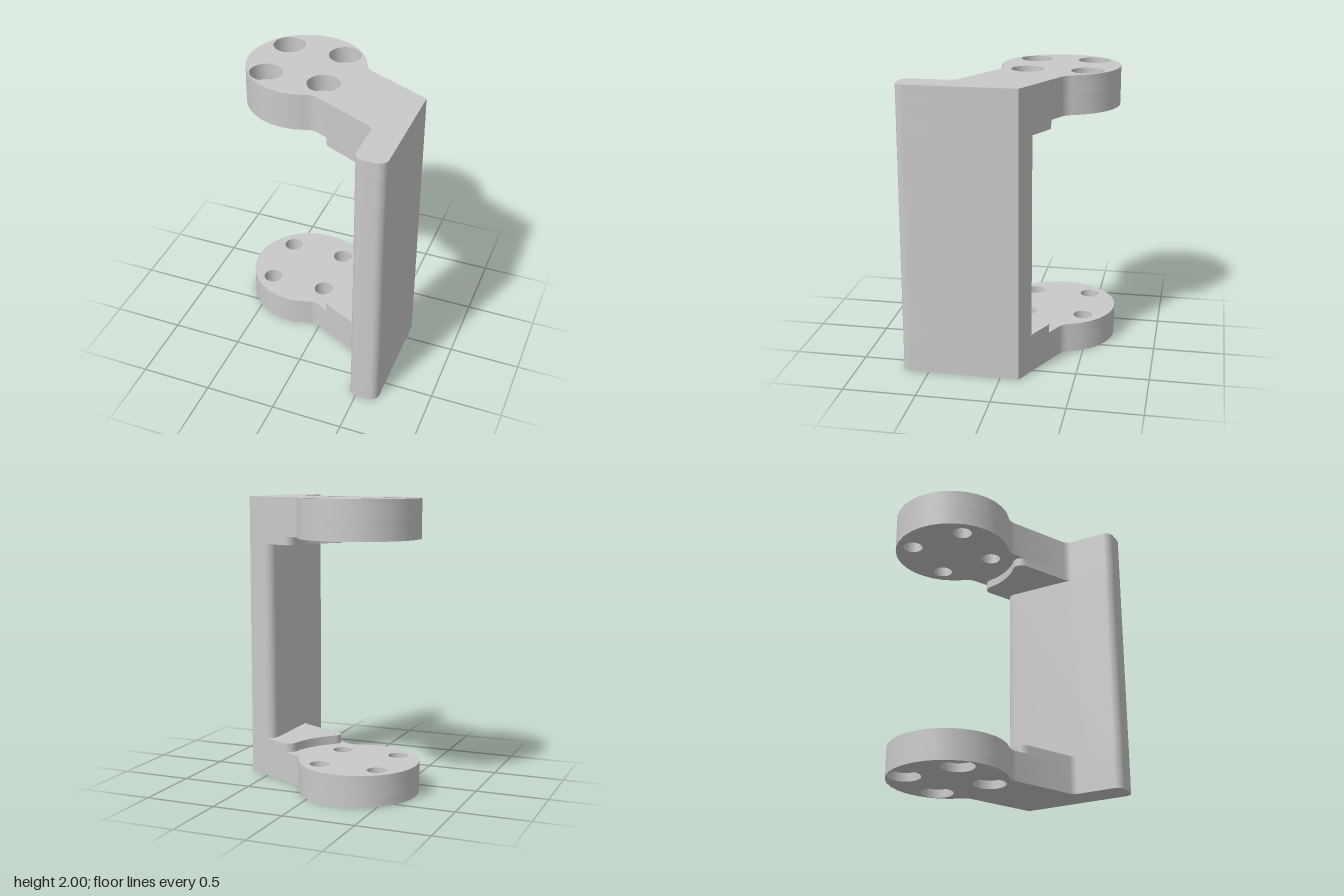
import * as THREE from 'three';
import { toCreasedNormals } from 'three/addons/utils/BufferGeometryUtils.js';

// Plan layout in (x, z): a disc joined by a slanted arm to an upright wall
const CX = -0.24, CZ = -0.272, R = 0.415;
const HALF = 0.251;          // half width of the arm
const TH = Math.atan(0.4725); // slant of the arm
const PI = Math.PI;

// Points of an arc in plan
function arc(x, z, r, from, to, n = 7) {
  return Array.from({ length: n + 1 }, (_, i) => {
    const a = from + (to - from) * i / n;
    return new THREE.Vector2(x + r * Math.cos(a), z + r * Math.sin(a));
  });
}

// Arc given in the arm's own axes: along and across, from the disc centre
function armArc(along, across, r, from, to, n) {
  const c = Math.cos(TH), s = Math.sin(TH);
  return arc(CX + along * c - across * s, CZ + along * s + across * c, r, from + TH, to + TH, n);
}

// Wall section with its rounded front end
const foot = [
  new THREE.Vector2(0.655, -0.127),
  ...arc(0.595, 0.627, 0.06, 0, PI / 2),
  ...arc(0.505, 0.627, 0.06, PI / 2, PI),
];
// Inner fillet between wall and arm
const innerFillet = arc(0.385, 0.368, 0.06, 0, TH - PI / 2);

function plateOutline() {
  const f = 0.1, across = HALF + f;
  const along = Math.sqrt((R + f) ** 2 - across ** 2);
  const phi = Math.atan2(across, along);
  return [
    ...foot, ...innerFillet,
    ...armArc(along, across, f, -PI / 2, -PI + phi, 4),
    ...armArc(0, 0, R, phi, 2 * PI - phi, 24).slice(1, -1),
    ...armArc(along, -across, f, PI - phi, PI / 2, 4),
  ];
}

// Raised step on the arm, ending in a hollow curve with rounded corners
function padOutline() {
  const f = 0.06, r = 0.479, across = HALF - f, shift = -0.044;
  const front = across - shift, back = across + shift;
  const alongFront = Math.sqrt((r + f) ** 2 - front ** 2);
  const alongBack = Math.sqrt((r + f) ** 2 - back ** 2);
  const a = Math.atan2(front, alongFront), b = Math.atan2(back, alongBack);
  return [
    ...foot, ...innerFillet,
    ...armArc(alongFront, across, f, PI / 2, PI + a),
    ...armArc(0, shift, r, a, -b, 8).slice(1, -1),
    ...armArc(alongBack, -across, f, PI - b, 1.5 * PI),
  ];
}

function wallOutline() {
  return [...foot, ...arc(0.505, -0.13, 0.06, PI, 1.5 * PI + TH)];
}

// Extrudes a plan outline from y0 to y1, with four bolt holes if a radius is given
function layer(name, outline, y0, y1, material, holeRadius = 0) {
  const shape = new THREE.Shape(outline.map(p => new THREE.Vector2(p.x, -p.y)));
  if (holeRadius) {
    for (const x of [-0.45, -0.035]) {
      for (const z of [-0.479, -0.066]) {
        // Holes wind opposite to the clockwise outline
        shape.holes.push(new THREE.Path().absarc(x, -z, holeRadius, 0, 2 * PI, false));
      }
    }
  }
  const geo = new THREE.ExtrudeGeometry(shape, { depth: y1 - y0, bevelEnabled: false, curveSegments: 14 });
  geo.rotateX(-PI / 2);
  geo.translate(0, y0, 0);
  const mesh = new THREE.Mesh(toCreasedNormals(geo, PI / 6), material);
  mesh.name = name;
  return mesh;
}

export function createModel() {
  const grey = new THREE.MeshStandardMaterial({ color: 0xcacaca });
  grey.name = 'grey metal';
  const bore = 0.113, bolt = 0.068;
  const group = new THREE.Group();
  group.name = 'bracket';
  group.add(
    // Lower flange, counterbored from below
    layer('lowerPlateCounterbores', plateOutline(), 0, 0.06, grey, bore),
    layer('lowerPlate', plateOutline(), 0.06, 0.213, grey, bolt),
    layer('lowerPad', padOutline(), 0.213, 0.275, grey),
    // Upright
    layer('wall', wallOutline(), 0.275, 1.672, grey),
    // Upper flange, counterbored from above
    layer('upperPad', padOutline(), 1.672, 1.732, grey),
    layer('upperPlate', plateOutline(), 1.732, 1.88, grey, bolt),
    layer('upperPlateCounterbores', plateOutline(), 1.88, 2, grey, bore),
  );
  return group;
}
